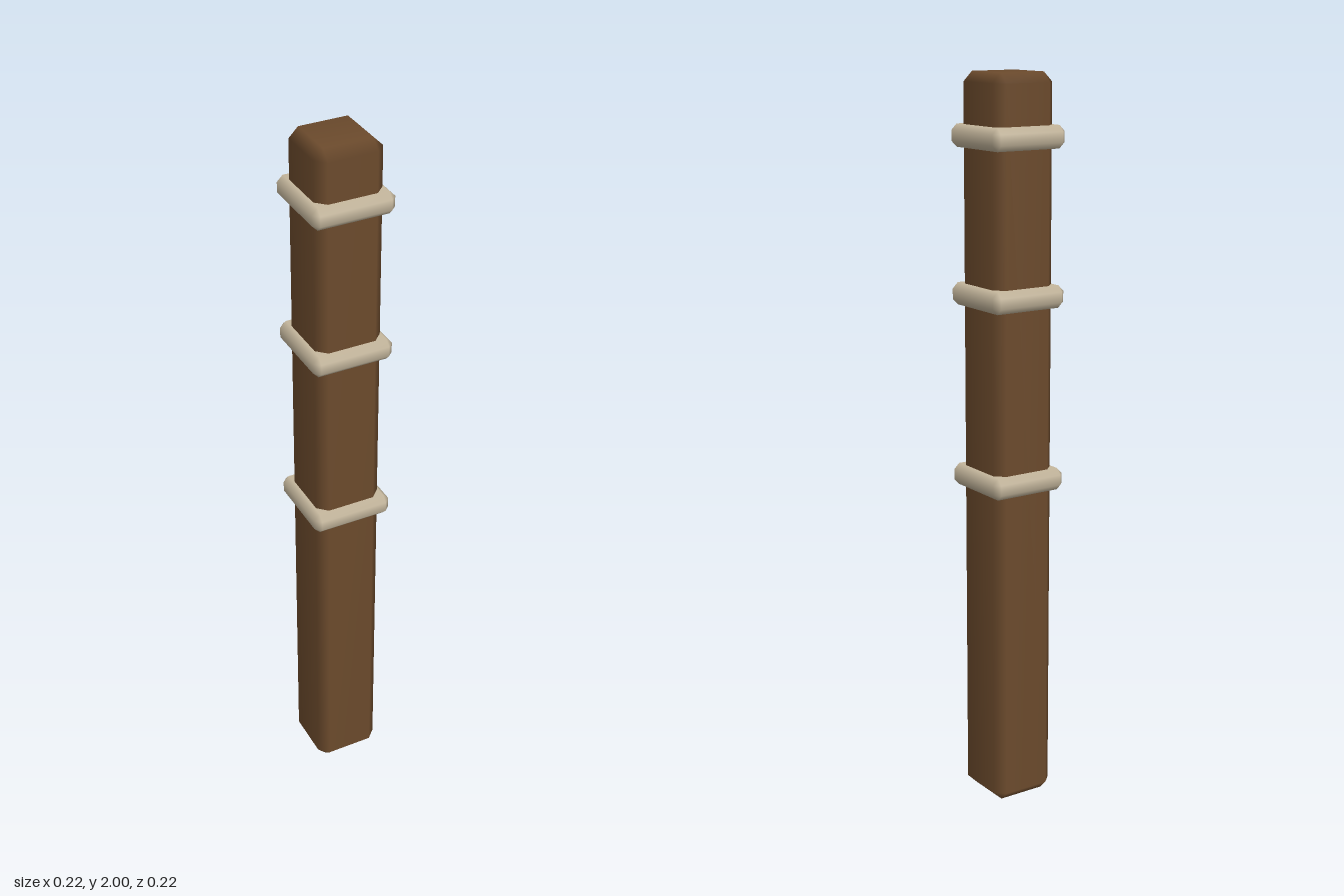
import * as THREE from 'three';
import { ConvexGeometry } from 'three/addons/geometries/ConvexGeometry.js';

const wood = new THREE.MeshStandardMaterial({ color: 0x6b4a2c });
wood.name = 'brown wood';
const rope = new THREE.MeshStandardMaterial({ color: 0xc4b69c });
rope.name = 'pale rope';

// Box with single-step chamfers and soft, area-weighted normals
function chamferedBox(width, height, depth, c) {
  const half = [width / 2, height / 2, depth / 2];
  const inset = half.map((h) => h - c);
  const points = [];
  for (let axis = 0; axis < 3; axis++) {
    for (const sx of [-1, 1]) for (const sy of [-1, 1]) for (const sz of [-1, 1]) {
      const p = [sx, sy, sz].map((s, i) => s * (i === axis ? half[i] : inset[i]));
      points.push(new THREE.Vector3(...p));
    }
  }
  const geometry = new ConvexGeometry(points);
  const pos = geometry.attributes.position;
  const normal = new THREE.Vector3();
  const p = new THREE.Vector3();
  for (let v = 0; v < pos.count; v++) {
    p.fromBufferAttribute(pos, v);
    const a = p.toArray();
    // Face the vertex lies on, and the two neighbouring directions
    const i = [0, 1, 2].find((k) => Math.abs(a[k]) > half[k] - c / 2);
    const j = (i + 1) % 3, k = (i + 2) % 3;
    const n = [0, 0, 0];
    n[j] = 2 * c * inset[k];
    n[k] = 2 * c * inset[j];
    n[i] = 4 * inset[j] * inset[k] + n[j] + n[k];
    normal.set(...n.map((w, q) => w * Math.sign(a[q]))).normalize();
    geometry.attributes.normal.setXYZ(v, normal.x, normal.y, normal.z);
  }
  return geometry;
}

export function createModel() {
  const group = new THREE.Group();
  group.name = 'woodenPost';

  // Square post standing on the ground
  const post = new THREE.Mesh(chamferedBox(0.185, 2, 0.185, 0.026), wood);
  post.name = 'post';
  post.position.y = 1;
  group.add(post);

  // Three bands wrapped around the post
  const bandGeometry = chamferedBox(0.224, 0.06, 0.224, 0.016);
  [0.92, 1.42, 1.836].forEach((y, i) => {
    const band = new THREE.Mesh(bandGeometry, rope);
    band.name = ['lowerBand', 'middleBand', 'upperBand'][i];
    band.position.y = y;
    group.add(band);
  });

  return group;
}
